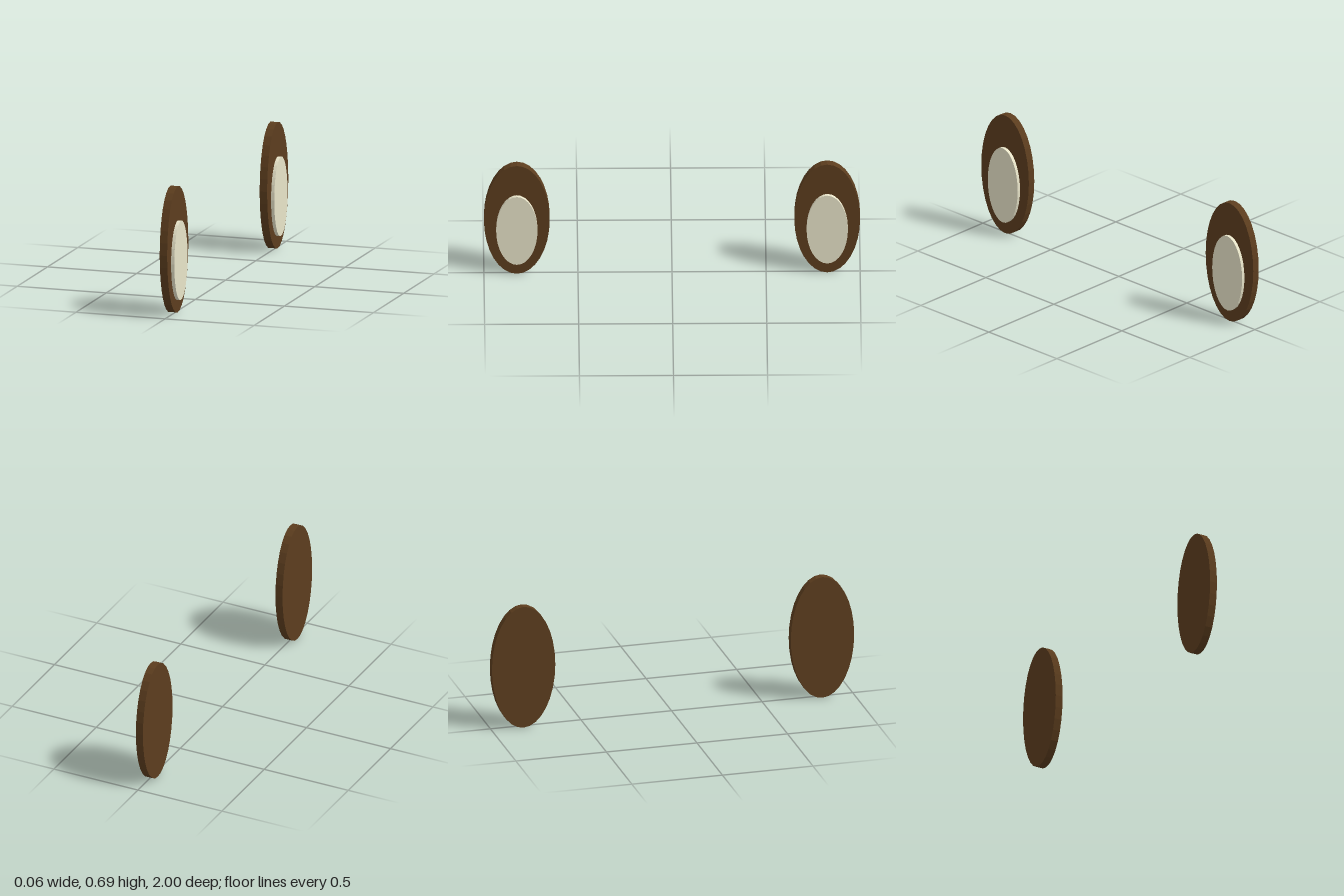
import * as THREE from 'three';

const brown = new THREE.MeshStandardMaterial({ color: 0x5c3d1e, flatShading: true });
const cream = new THREE.MeshStandardMaterial({ color: 0xe8e4c9, flatShading: true });

// Flat elliptical disc whose axis runs along x, from x0 to x1
function ovalDisc(name, material, x0, x1, y, radiusY, radiusZ) {
  const geometry = new THREE.CylinderGeometry(1, 1, x1 - x0, 32);
  geometry.rotateZ(-Math.PI / 2);
  geometry.scale(1, radiusY, radiusZ);
  const mesh = new THREE.Mesh(geometry, material);
  mesh.name = name;
  mesh.position.set((x0 + x1) / 2, y, 0);
  return mesh;
}

export function createModel() {
  const model = new THREE.Group();
  model.name = 'earPair';

  // Two matching ears, one at each end of z, both facing +x
  for (const side of [1, -1]) {
    const ear = new THREE.Group();
    ear.name = side > 0 ? 'frontEar' : 'backEar';
    ear.add(
      ovalDisc('outerEar', brown, -0.03, 0.012, 0.343, 0.343, 0.175),
      ovalDisc('innerEar', cream, 0.012, 0.03, 0.284, 0.216, 0.11)
    );
    ear.position.z = side * 0.825;
    model.add(ear);
  }
  return model;
}
